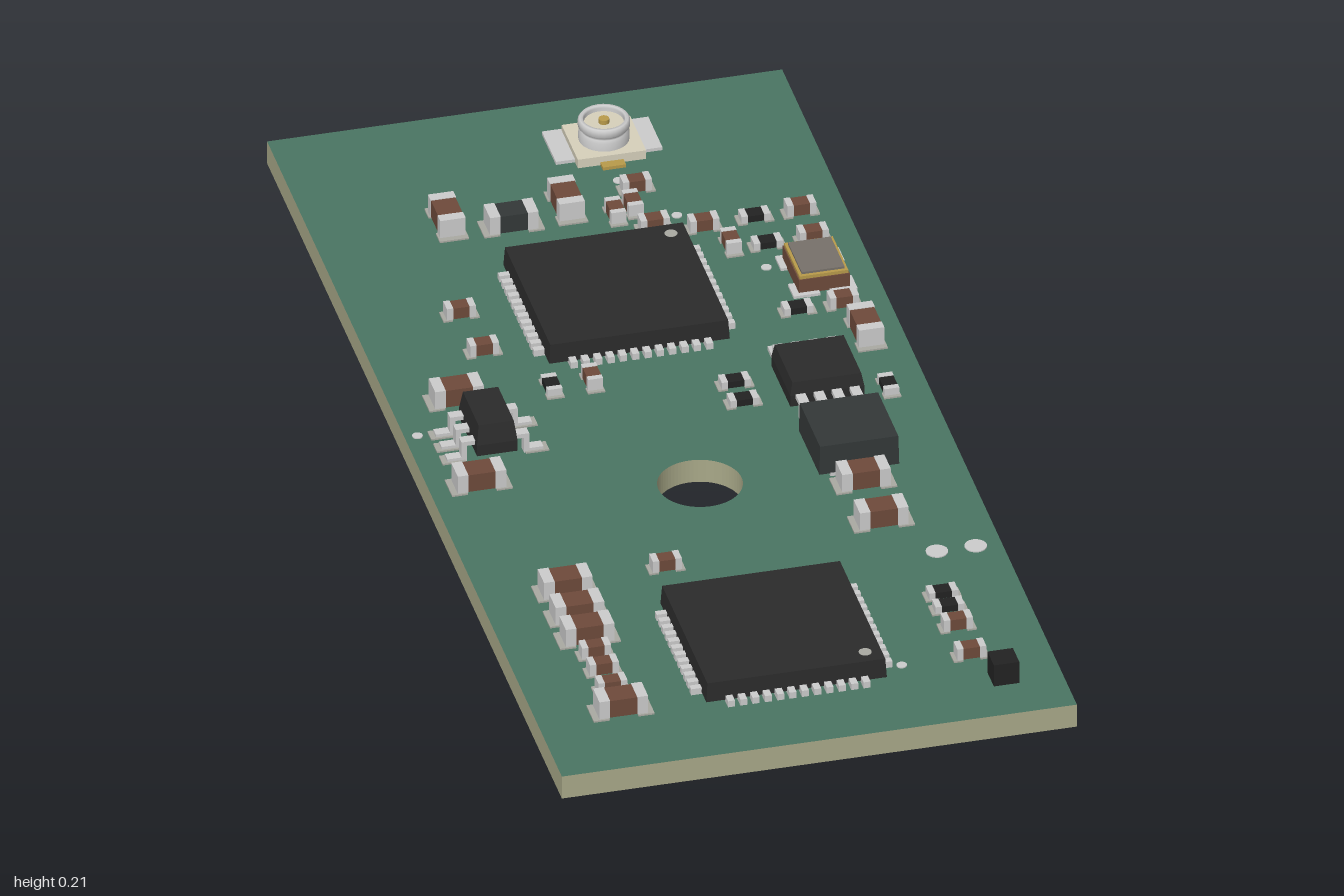
import * as THREE from 'three';

const TOP = 0.136, BOTTOM = 0.092;
const mat = (color, side = THREE.FrontSide) => new THREE.MeshStandardMaterial({ color, side });
const M = {
  mask: mat(0x4a7562), edge: mat(0xa8a888), black: mat(0x2b2b2b), plastic: mat(0x1d1e24),
  metal: mat(0xcccccc), pad: mat(0xa9a9a2), brown: mat(0x6e4a3b), dark: mat(0x222222),
  coil: mat(0x333838), gold: mat(0xb89a4a), cream: mat(0xd6d0bb), lid: mat(0x77716a),
  shell: mat(0xcccccc, THREE.DoubleSide),
};

function group(name, parent, x = 0, z = 0, turn = 0) {
  const g = new THREE.Group();
  g.name = name;
  g.position.set(x, 0, z);
  g.rotation.y = turn;
  parent.add(g);
  return g;
}

// Box from y0 to y1; taper shrinks its top face
function block(parent, name, m, x, z, w, d, y0, y1, taper = 1) {
  const geo = new THREE.BoxGeometry(w, y1 - y0, d);
  if (taper !== 1) {
    const p = geo.attributes.position;
    for (let i = 0; i < p.count; i++)
      if (p.getY(i) > 0) { p.setX(i, p.getX(i) * taper); p.setZ(i, p.getZ(i) * taper); }
    geo.computeVertexNormals();
  }
  const mesh = new THREE.Mesh(geo, m);
  mesh.name = name;
  mesh.position.set(x, (y0 + y1) / 2, z);
  parent.add(mesh);
  return mesh;
}

function disc(parent, name, m, x, z, r, y0, y1) {
  const mesh = new THREE.Mesh(new THREE.CylinderGeometry(r, r, y1 - y0, 20), m);
  mesh.name = name;
  mesh.position.set(x, (y0 + y1) / 2, z);
  parent.add(mesh);
}

// Circuit board with its mounting hole
function board(parent) {
  const s = new THREE.Shape();
  s.moveTo(-0.445, -1).lineTo(0.445, -1).lineTo(0.445, 1).lineTo(-0.445, 1).closePath();
  s.holes.push(new THREE.Path().absarc(0, -0.19, 0.072, 0, Math.PI * 2, true));
  const geo = new THREE.ExtrudeGeometry(s, { depth: TOP - BOTTOM, bevelEnabled: false, curveSegments: 32 });
  geo.rotateX(-Math.PI / 2);
  const mesh = new THREE.Mesh(geo, [M.mask, M.edge]);
  mesh.name = 'board';
  mesh.position.y = BOTTOM;
  parent.add(mesh);
}

// Square chip with twelve leads on each side
function squareChip(parent, name, z) {
  const g = group(name, parent, 0, z);
  block(g, 'chipBody', M.black, 0, 0, 0.312, 0.312, TOP + 0.004, 0.176, 0.985);
  for (let side = 0; side < 4; side++) {
    const row = group('leadRow', g, 0, 0, side * Math.PI / 2);
    for (let i = 0; i < 12; i++)
      block(row, 'lead', M.metal, (i - 5.5) * 0.0213, 0.156, 0.012, 0.036, TOP, TOP + 0.012);
  }
  return g;
}

// Two-terminal part on its solder pads
function passive(parent, x, z, { big = false, upright = false, m = M.brown }) {
  const g = group(big ? 'capacitor' : 'smallPassive', parent, x, z, upright ? Math.PI / 2 : 0);
  const [L, W, H] = big ? [0.084, 0.044, 0.034] : [0.05, 0.026, m === M.dark ? 0.013 : 0.022];
  const y = TOP + 0.003, cap = L * 0.22;
  block(g, 'partBody', m, 0, 0, L - 2 * cap, W * 0.96, y, y + H - 0.001);
  for (const s of [-1, 1]) {
    block(g, 'terminal', M.metal, s * (L - cap) / 2, 0, cap, W, y, y + H);
    block(g, 'solderPad', M.pad, s * L * 0.46, 0, L * 0.33, W * 1.15, TOP, y);
  }
}

// Gull-wing lead made of a foot, a riser and a shoulder, pointing along +z
function gullLead(parent, x, z, w, reach, rise) {
  block(parent, 'leadFoot', M.metal, x, z + reach * 0.72, w, reach * 0.56, TOP, TOP + 0.008);
  block(parent, 'leadRiser', M.metal, x, z + reach * 0.42, w, 0.009, TOP, TOP + rise);
  block(parent, 'leadShoulder', M.metal, x, z + reach * 0.15, w, reach * 0.55, TOP + rise - 0.008, TOP + rise);
}

// Open-bottomed trough connector under the board with gold contacts
function connector(parent, name, z, len, depth, low, foot, pins) {
  const g = group(name, parent, 0, z);
  const high = 0.085, wall = depth * 0.2, end = 0.034;
  block(g, 'connectorBase', M.plastic, 0, 0, len - 0.004, depth, high - 0.02, high);
  for (const s of [-1, 1]) {
    block(g, 'longWall', M.plastic, 0, s * (depth - wall) / 2, len - 2 * end, wall, low, high - 0.02);
    block(g, 'endWall', M.plastic, s * (len - end) / 2, 0, end, depth, foot, high);
    block(g, 'anchor', M.metal, s * (len / 2 - 0.02), 0, 0.02, depth * 0.7, high, BOTTOM);
    for (let i = 0; i < pins; i++) {
      const x = (i - (pins - 1) / 2) * 0.0195;
      block(g, 'contact', M.gold, x, s * (depth / 2 - wall - 0.003), 0.008, 0.006, low + 0.006, high - 0.02);
      block(g, 'solderTail', M.gold, x, s * (depth / 2 + 0.002), 0.008, 0.03, high - 0.003, BOTTOM);
    }
  }
  return g;
}

export function createModel() {
  const model = new THREE.Group();
  model.name = 'circuitBoardModule';
  board(model);

  // Main chips with pin-one marks
  for (const [name, z, mark] of [['upperChip', -0.376, -0.126], ['lowerChip', 0.69, 0.126]])
    disc(squareChip(model, name, z), 'pinOneMark', M.pad, 0.126, mark, 0.011, 0.175, 0.1768);

  // Coaxial antenna socket
  const socket = group('antennaSocket', model, 0.098, -0.847);
  block(socket, 'socketBase', M.cream, 0, 0, 0.118, 0.11, TOP, 0.153);
  for (const s of [-1, 1])
    block(socket, 'groundPad', M.metal, s * 0.074, -0.012, 0.036, 0.096, TOP, 0.142);
  block(socket, 'signalPad', M.gold, 0, 0.062, 0.04, 0.02, TOP, 0.142);
  const ring = [[0.043, 0.15], [0.043, 0.168], [0.039, 0.172], [0.039, 0.176], [0.044, 0.18],
    [0.044, 0.19], [0.041, 0.194], [0.036, 0.194], [0.034, 0.19], [0.034, 0.156]];
  const barrel = new THREE.Mesh(new THREE.LatheGeometry(ring.map(p => new THREE.Vector2(...p)), 28), M.shell);
  barrel.name = 'socketBarrel';
  socket.add(barrel);
  disc(socket, 'socketInsulator', M.cream, 0, 0, 0.034, 0.15, 0.184);
  disc(socket, 'centrePin', M.gold, 0, 0, 0.009, 0.15, 0.192);

  // Crystal can
  const crystal = group('crystal', model, 0.346, -0.38);
  for (const x of [-0.032, 0.032]) for (const z of [-0.044, 0.044])
    block(crystal, 'crystalPad', M.metal, x, z, 0.046, 0.04, TOP, 0.141);
  block(crystal, 'crystalBody', M.brown, 0, 0, 0.088, 0.11, 0.139, 0.166);
  block(crystal, 'crystalRim', M.gold, 0, 0, 0.084, 0.106, 0.166, 0.172);
  block(crystal, 'crystalLid', M.lid, 0, 0, 0.074, 0.094, 0.172, 0.176);

  // Eight-lead regulator
  const reg = group('regulator', model, 0.265, -0.05);
  block(reg, 'regulatorBody', M.black, 0, 0, 0.128, 0.128, 0.145, 0.166);
  block(reg, 'regulatorTop', M.black, 0, 0, 0.128, 0.128, 0.166, 0.19, 0.93);
  for (const turn of [0, Math.PI]) {
    const row = group('leadRow', reg, 0, 0, turn);
    for (let i = 0; i < 4; i++) gullLead(row, (i - 1.5) * 0.031, 0.062, 0.017, 0.064, 0.032);
  }

  // Power inductor
  const coil = group('inductor', model, 0.267, 0.153);
  block(coil, 'inductorBody', M.coil, 0, 0, 0.138, 0.14, 0.142, 0.197, 0.98);
  for (const s of [-1, 1]) block(coil, 'inductorPad', M.metal, 0, s * 0.05, 0.1, 0.04, TOP, 0.143);

  // Five-lead transistor package
  const small = group('transistor', model, -0.312, -0.021);
  block(small, 'transistorBody', M.black, 0, 0, 0.07, 0.122, 0.151, 0.172);
  block(small, 'transistorTop', M.black, 0, 0, 0.07, 0.122, 0.172, 0.207, 0.87);
  for (const [turn, xs] of [[Math.PI / 2, [-0.039, 0.039]], [-Math.PI / 2, [-0.039, 0, 0.039]]]) {
    const row = group('leadRow', small, 0, 0, turn);
    for (const x of xs) {
      gullLead(row, x, 0.033, 0.018, 0.05, 0.038);
      block(row, 'solderPad', M.pad, x, 0.072, 0.026, 0.04, TOP, TOP + 0.003);
    }
  }

  // Small black part near the front corner
  block(model, 'cornerPart', M.dark, 0.346, 0.89, 0.044, 0.044, TOP, 0.178);

  // Capacitors and resistors, grouped by size, direction and colour
  const sets = [
    [{ big: true }, [[-0.333, -0.156], [-0.36, 0.103], [0.265, 0.257], [0.265, 0.378], [-0.3, 0.453],
      [-0.3, 0.532], [-0.3, 0.601], [-0.3, 0.829]]],
    [{ big: true, m: M.coil }, [[-0.113, -0.648]]],
    [{ big: true, upright: true }, [[-0.216, -0.68], [-0.01, -0.68], [0.381, -0.183]]],
    [{}, [[0.117, -0.706], [0.117, -0.584], [0.197, -0.562], [0.366, -0.569], [0.366, -0.484], [0.366, -0.278],
      [-0.264, -0.405], [-0.254, -0.286], [-0.12, 0.427], [-0.3, 0.654], [-0.3, 0.707], [-0.3, 0.765],
      [0.308, 0.722], [0.308, 0.812]]],
    [{ m: M.dark }, [[0.287, -0.569], [0.287, -0.484], [0.287, -0.278], [0.13, -0.087], [0.13, -0.029],
      [0.308, 0.622], [0.308, 0.665]]],
    [{ upright: true }, [[0.063, -0.633], [0.097, -0.648], [0.228, -0.495], [-0.1, -0.15]]],
    [{ upright: true, m: M.dark }, [[0.377, -0.013], [-0.17, -0.15]]],
  ];
  for (const [options, spots] of sets)
    for (const [x, z] of spots) passive(model, x, z, options);

  // Test points and placement dots
  for (const x of [0.333, 0.4]) disc(model, 'testPoint', M.metal, x, 0.49, 0.019, TOP, TOP + 0.002);
  for (const [x, z] of [[0.19, 0.812], [0.27, -0.42], [-0.423, -0.066], [0.164, -0.611], [0.095, -0.738], [0.36, 0.854]])
    disc(model, 'placementDot', M.metal, x, z, 0.009, TOP, TOP + 0.002);

  // Connectors on the underside
  connector(model, 'largeConnector', -0.365, 0.47, 0.13, 0.012, 0, 20);
  connector(model, 'smallConnector', 0.747, 0.415, 0.083, 0.04, 0.04, 18);
  return model;
}
